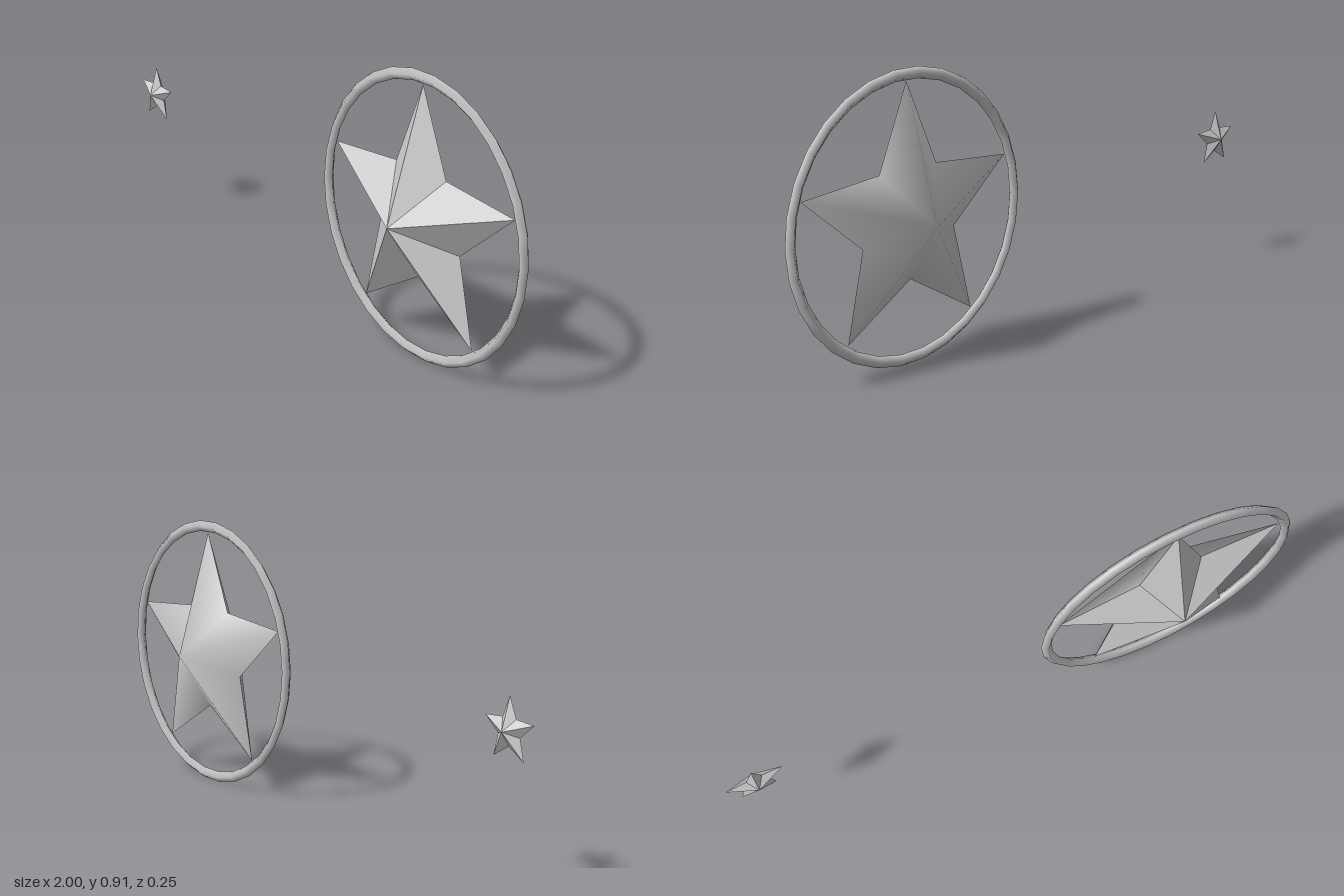
import * as THREE from 'three';

const material = new THREE.MeshStandardMaterial({ color: 0xcccccc });

// One faceted half of a five-pointed star: a fan from the raised centre to the sharp rim
function starHalf(outer, inner, depth, side, smooth) {
  const points = [0, 0, depth * side];
  const faces = [];
  for (let i = 0; i < 10; i++) {
    const a = Math.PI / 2 + (i * Math.PI) / 5;
    const r = i % 2 ? inner : outer;
    points.push(r * Math.cos(a), r * Math.sin(a), 0);
    const p = i + 1, q = ((i + 1) % 10) + 1;
    faces.push(0, ...(side > 0 ? [p, q] : [q, p]));
  }
  let geometry = new THREE.BufferGeometry();
  geometry.setAttribute('position', new THREE.Float32BufferAttribute(points, 3));
  geometry.setIndex(faces);
  if (!smooth) geometry = geometry.toNonIndexed();
  geometry.computeVertexNormals();
  return geometry;
}

function star(name, outer, inner, depth, smoothBack) {
  const group = new THREE.Group();
  group.name = name;
  const front = new THREE.Mesh(starHalf(outer, inner, depth, 1, false), material);
  front.name = name + 'Front';
  const back = new THREE.Mesh(starHalf(outer, inner, depth, -1, smoothBack), material);
  back.name = name + 'Back';
  group.add(front, back);
  return group;
}

export function createModel() {
  const model = new THREE.Group();
  model.name = 'starOrnaments';

  // Large star with a softly shaded back
  const largeStar = star('largeStar', 0.415, 0.188, 0.126, true);
  largeStar.position.set(0.545, 0.455, 0);

  // Thin ring touching the large star's tips
  const ring = new THREE.Mesh(new THREE.TorusGeometry(0.437, 0.018, 4, 30), material);
  ring.name = 'ring';
  ring.position.copy(largeStar.position);

  // Small separate star
  const smallStar = star('smallStar', 0.1, 0.045, 0.03, false);
  smallStar.position.set(-0.905, 0.455, 0);

  model.add(largeStar, ring, smallStar);
  return model;
}
